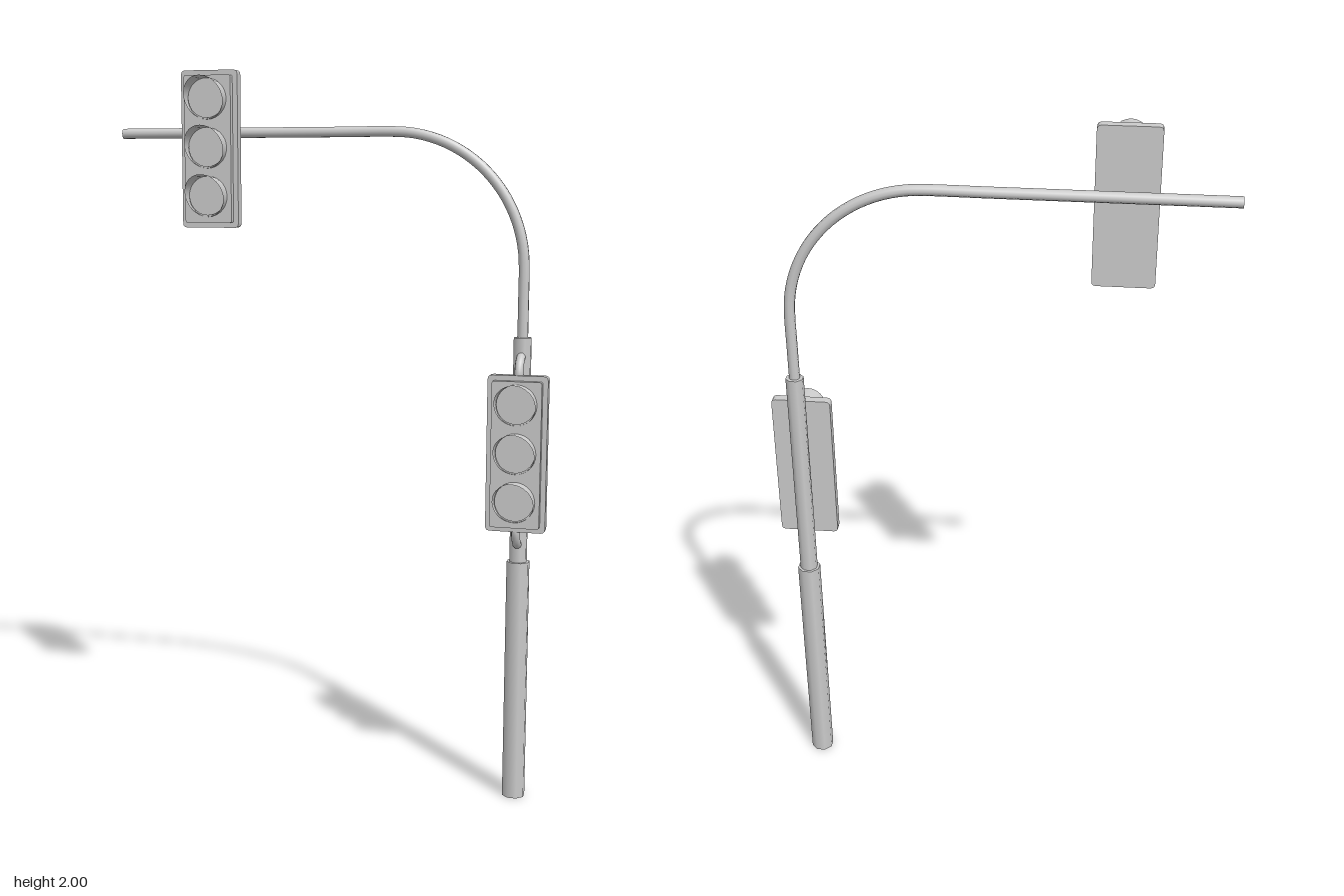
import * as THREE from 'three';

const grey = new THREE.MeshStandardMaterial({ color: 0xcccccc });
const thin = new THREE.MeshStandardMaterial({ color: 0xcccccc, side: THREE.DoubleSide });
const POLE_X = 0.53, POLE_Z = -0.058;
const V = (x, y, z) => new THREE.Vector3(x, y, z);

function add(parent, name, geometry, x = 0, y = 0, z = 0, material = grey) {
  const mesh = new THREE.Mesh(geometry, material);
  mesh.name = name;
  mesh.position.set(x, y, z);
  parent.add(mesh);
  return mesh;
}

// Flat plate with rounded corners, back face at z = 0
function plate(w, h, depth, r) {
  const s = new THREE.Shape();
  const a = w / 2, b = h / 2;
  s.moveTo(-a + r, -b);
  s.lineTo(a - r, -b);
  s.quadraticCurveTo(a, -b, a, -b + r);
  s.lineTo(a, b - r);
  s.quadraticCurveTo(a, b, a - r, b);
  s.lineTo(-a + r, b);
  s.quadraticCurveTo(-a, b, -a, b - r);
  s.lineTo(-a, -b + r);
  s.quadraticCurveTo(-a, -b, -a + r, -b);
  return new THREE.ExtrudeGeometry(s, { depth, bevelEnabled: false, curveSegments: 3 });
}

// Tube cut on a slant: full length at the top, nothing at the bottom
function visorGeometry(r, length) {
  const g = new THREE.CylinderGeometry(r, r, 1, 28, 1, true);
  g.rotateX(Math.PI / 2).translate(0, 0, 0.5);
  const p = g.attributes.position;
  for (let i = 0; i < p.count; i++) {
    const t = (p.getY(i) / r + 1) / 2;
    const z = p.getZ(i) * (0.006 + (length - 0.006) * t);
    p.setZ(i, z);
    p.setY(i, p.getY(i) + z * 0.08); // slight upward tilt
  }
  g.computeVertexNormals();
  return g;
}

function signalHead(name, x, y) {
  const head = new THREE.Group();
  head.name = name;
  head.position.set(x, y, 0);
  add(head, 'backPlate', plate(0.162, 0.424, 0.026, 0.012), 0, 0, -0.016);
  add(head, 'frontPanel', plate(0.134, 0.396, 0.017, 0.006), 0, 0, 0.01);
  for (let i = -1; i <= 1; i++) {
    const cy = 0.006 + i * 0.131;
    add(head, 'visor', visorGeometry(0.055, 0.061), 0, cy - 0.002, 0.027, thin);
    const lens = new THREE.CylinderGeometry(0.053, 0.053, 0.006, 28).rotateX(Math.PI / 2);
    add(head, 'lens', lens, 0, cy, 0.029);
  }
  return head;
}

export function createModel() {
  const model = new THREE.Group();
  model.name = 'trafficLight';

  // Stepped upright pole
  const pole = (r, h) => new THREE.CylinderGeometry(r, r, h, 8).rotateY(Math.PI / 8);
  add(model, 'lowerPole', pole(0.032, 0.675), POLE_X, 0.3375, POLE_Z);
  add(model, 'upperPole', pole(0.0245, 0.63), POLE_X, 0.975, POLE_Z);

  // Overhanging arm: upright, quarter bend, horizontal run
  const R = 0.36, armY = 1.834, r = 0.0145;
  const points = [V(POLE_X, 1.27, POLE_Z), V(POLE_X, 1.38, POLE_Z)];
  for (let i = 0; i <= 12; i++) {
    const a = (i / 12) * Math.PI / 2;
    points.push(V(POLE_X - R + R * Math.cos(a), armY - R + R * Math.sin(a), POLE_Z));
  }
  points.push(V(0, armY, POLE_Z), V(-0.3, armY, POLE_Z), V(-0.612, armY, POLE_Z));
  const armPath = new THREE.CatmullRomCurve3(points, false, 'centripetal');
  add(model, 'arm', new THREE.TubeGeometry(armPath, 70, r, 10));
  const cap = add(model, 'armEnd', new THREE.CircleGeometry(r, 10), -0.612, armY, POLE_Z);
  cap.rotation.y = -Math.PI / 2;

  // Signal heads on the arm and on the pole
  model.add(signalHead('armSignal', -0.33, 1.788), signalHead('poleSignal', POLE_X, 0.983));

  // Curved brackets holding the pole signal, above and below
  for (const s of [1, -1]) {
    const path = new THREE.CatmullRomCurve3([
      [0.195, -0.004], [0.222, -0.006], [0.245, -0.018], [0.256, -0.035], [0.258, -0.055],
    ].map(([y, z]) => V(POLE_X, 0.983 + s * y, z)));
    add(model, s > 0 ? 'upperBracket' : 'lowerBracket', new THREE.TubeGeometry(path, 14, 0.012, 10));
  }
  return model;
}
